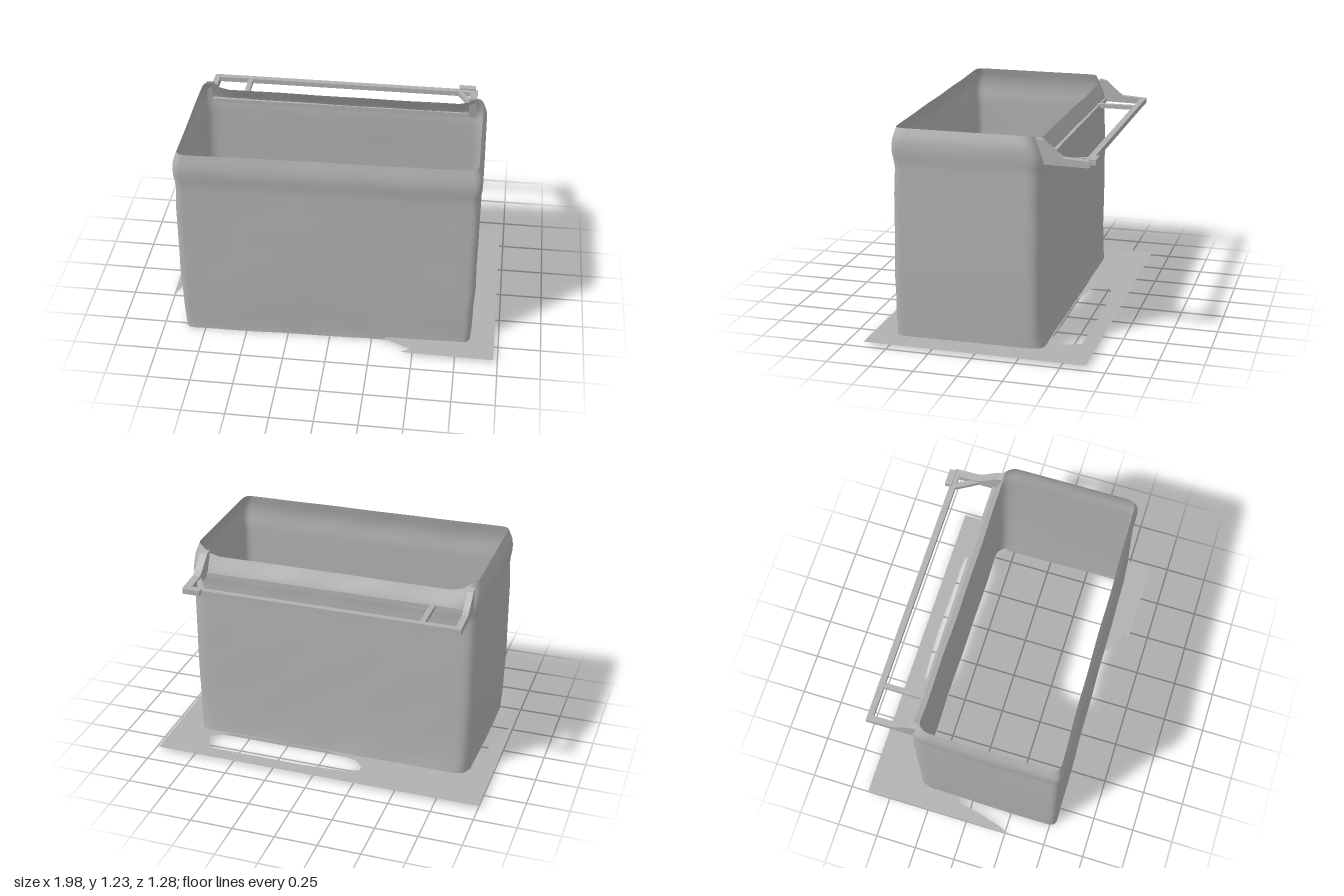
import * as THREE from 'three';

const grey = new THREE.MeshStandardMaterial({ color: 0xb0b0b0, side: THREE.DoubleSide });
grey.name = 'plain grey';

// Rounded footprint of the bin: straight edges subdivided, corners as small curves
function footprint() {
  const c = [[-0.884, 0.536], [0.843, 0.5], [0.838, -0.347], [-0.875, -0.345]].map(p => new THREE.Vector2(...p));
  const radius = [0.05, 0.05, 0.08, 0.08], pts = [];
  const step = (from, to, r) => from.clone().add(to.clone().sub(from).setLength(r));
  c.forEach((p, i) => {
    const j = (i + 1) % 4, next = c[j];
    const a = step(p, c[(i + 3) % 4], radius[i]), b = step(p, next, radius[i]);
    pts.push(...new THREE.QuadraticBezierCurve(a, p, b).getPoints(6));
    const end = step(next, p, radius[j]);
    for (let k = 1; k < 24; k++) pts.push(b.clone().lerp(end, k / 24));
  });
  return pts;
}

// Open-ended wall lofted from the footprint; rows are height, then side, front and back offsets
function wallGeometry() {
  const profile = [
    [0, -0.014, 0, 0.015], [0.05, -0.012, -0.003, 0.009], [0.12, -0.008, 0, 0.004], [0.25, -0.004, 0.002, 0.001],
    [0.4, 0, 0.003, 0], [0.55, 0, 0, 0], [0.7, 0, 0, 0], [0.85, 0, -0.002, -0.003], [1, -0.005, -0.005, -0.006],
    [1.05, -0.003, -0.001, -0.003], [1.08, 0.002, 0.004, 0], [1.12, 0.003, 0.006, -0.012], [1.16, 0, 0.002, -0.026],
    [1.19, -0.008, -0.006, -0.038], [1.23, -0.022, -0.016, -0.052]];
  const ring = footprint(), n = ring.length, cx = -0.02, cz = 0.09;
  const pos = [], idx = [];
  profile.forEach(([h, side, front, back], j) => {
    ring.forEach(p => {
      const u = THREE.MathUtils.clamp((p.x - cx) / 0.82, -1, 1);
      const v = THREE.MathUtils.clamp((p.y - cz) / 0.4, -1, 1);
      const x = p.x + side * u;
      const z = p.y + (v > 0 ? front : back) * v;
      // the middle of the back rim is lower
      const middle = v < -0.95 ? THREE.MathUtils.smoothstep(0.82 - Math.abs(x - cx), 0, 0.1) : 0;
      const y = h - middle * Math.max(0, h - 1.05) * 0.3;
      // faint dents
      const dent = 0.003 * Math.sin(9 * x + 7 * h) * Math.sin(11 * h - 6 * z + 4 * x);
      pos.push(x + dent, y, z + dent);
    });
    if (j === 0) return;
    for (let i = 0; i < n; i++) {
      const a = (j - 1) * n + i, b = (j - 1) * n + (i + 1) % n;
      idx.push(a, b, b + n, a, b + n, a + n);
    }
  });
  const g = new THREE.BufferGeometry();
  g.setAttribute('position', new THREE.Float32BufferAttribute(pos, 3));
  g.setIndex(idx);
  g.computeVertexNormals();
  return g;
}

const path = list => list.map(p => new THREE.Vector2(...p));

// Thin ground sheet around the bin, with one gap behind it
function floorGeometry() {
  const s = new THREE.Shape(path([[-1, -0.64], [0.975, -0.64], [0.975, 0.64], [0.5, 0.635], [0.43, 0.63], [0.49, 0.6],
    [0.4, 0.56], [0.33, 0.53], [0.33, 0.51], [0.78, 0.5], [0.83, 0.45], [0.825, -0.29], [0.76, -0.355],
    [-0.8, -0.355], [-0.865, -0.29], [-0.875, -0.12], [-0.91, -0.06], [-0.93, 0.05], [-0.97, 0.2], [-1, 0.27]]));
  s.holes.push(new THREE.Path(path([[-0.27, -0.49], [-0.18, -0.54], [0.1, -0.555], [0.68, -0.55], [0.73, -0.43],
    [0.62, -0.365], [0, -0.365], [-0.2, -0.41]])));
  return new THREE.ShapeGeometry(s).rotateX(Math.PI / 2);
}

// Bracket cut from a side profile given as (z, y), ending at x = right
function armGeometry(right, width) {
  const s = new THREE.Shape(path([[-0.3, 1.21], [-0.34, 1.2], [-0.42, 1.13], [-0.45, 1.11], [-0.6, 1.1], [-0.6, 1.065], [-0.33, 1.07]]));
  return new THREE.ExtrudeGeometry(s, { depth: width, bevelEnabled: false })
    .rotateY(-Math.PI / 2).translate(right, 0, 0);
}

// Slim bar between two points
function barGeometry(a, b, height, width) {
  const from = new THREE.Vector3(...a), to = new THREE.Vector3(...b);
  const g = new THREE.BoxGeometry(width, height, from.distanceTo(to));
  const m = new THREE.Object3D();
  m.position.copy(from).lerp(to, 0.5);
  m.lookAt(to);
  m.updateMatrix();
  return g.applyMatrix4(m.matrix);
}

export function createModel() {
  const model = new THREE.Group();
  model.name = 'openBin';
  const add = (name, geometry, parent = model) => {
    const mesh = new THREE.Mesh(geometry, grey);
    mesh.name = name;
    parent.add(mesh);
    return mesh;
  };

  add('binWalls', wallGeometry());
  add('groundSheet', floorGeometry()).position.y = 0.02;

  // Handle frame behind the rim
  const frame = new THREE.Group();
  frame.name = 'handleFrame';
  model.add(frame);
  add('rightArm', armGeometry(-0.815, 0.035), frame);
  add('leftArm', armGeometry(0.775, 0.045), frame);
  add('outerBar', barGeometry([-0.85, 1.085, -0.583], [0.775, 1.085, -0.583], 0.03, 0.035), frame);
  add('innerBar', barGeometry([-0.82, 1.08, -0.335], [0.76, 1.08, -0.345], 0.025, 0.03), frame);
  add('crossBar', barGeometry([-0.625, 1.085, -0.57], [-0.625, 1.085, -0.33], 0.025, 0.03), frame);
  add('cornerBrace', barGeometry([0.67, 1.085, -0.57], [0.74, 1.085, -0.45], 0.025, 0.03), frame);
  add('cornerTip', new THREE.BoxGeometry(0.1, 0.03, 0.04).translate(0.71, 1.095, -0.61), frame);
  return model;
}
